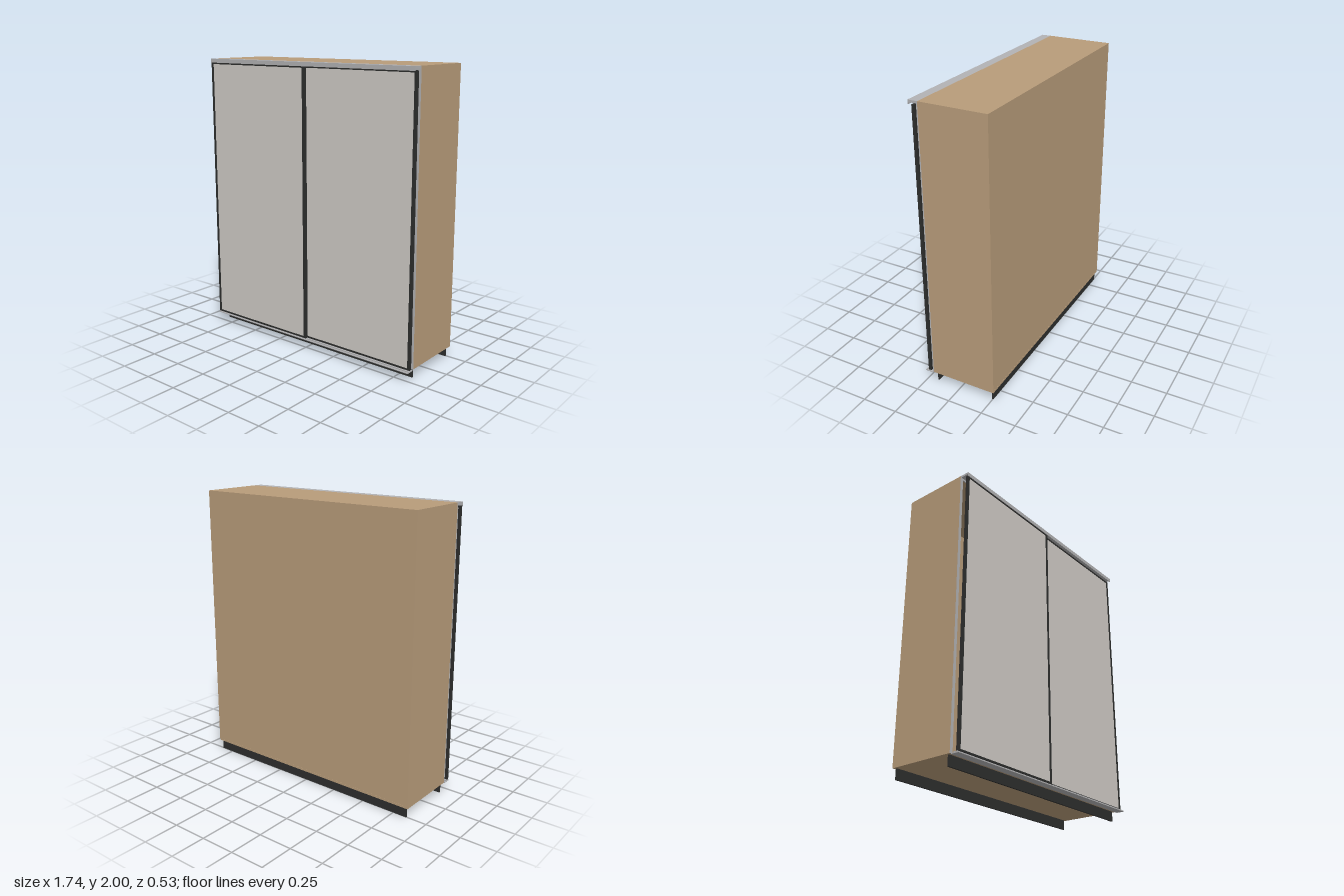
import * as THREE from 'three';

const material = (color) => new THREE.MeshStandardMaterial({ color });

export function createModel() {
  const model = new THREE.Group();
  model.name = 'slidingDoorWardrobe';
  const wood = material(0xb89c7a);
  const dark = material(0x2d2e2d);
  const metal = material(0xb2b2b4);
  const doorFace = material(0xcfcbc6);

  // Box given by its limits along each axis
  function slab(parent, name, mat, [x0, x1], [y0, y1], [z0, z1]) {
    const mesh = new THREE.Mesh(new THREE.BoxGeometry(x1 - x0, y1 - y0, z1 - z0), mat);
    mesh.position.set((x0 + x1) / 2, (y0 + y1) / 2, (z0 + z1) / 2);
    mesh.name = name;
    parent.add(mesh);
  }

  const W = 0.868, back = -0.267, front = 0.2, low = 0.07, t = 0.016;

  // Hollow carcass
  const carcass = new THREE.Group();
  carcass.name = 'carcass';
  model.add(carcass);
  for (const s of [-1, 1]) {
    const span = s < 0 ? [-W, -W + t] : [W - t, W];
    slab(carcass, 'sidePanel', wood, span, [low, 2], [back, front]);
    slab(carcass, 'sideEdgeStrip', metal, span, [low, 1.985], [front, 0.207]);
  }
  slab(carcass, 'topPanel', wood, [-W + t, W - t], [2 - t, 2], [back, front]);
  slab(carcass, 'bottomPanel', wood, [-W + t, W - t], [low, low + t], [back, front]);
  slab(carcass, 'backPanel', wood, [-W + t, W - t], [low + t, 2 - t], [back + 0.001, back + 0.009]);

  // Plinth boards under the carcass
  slab(model, 'frontPlinth', dark, [-0.852, 0.848], [0, low], [0.171, 0.182]);
  slab(model, 'backPlinth', dark, [-0.852, 0.848], [0, low], [-0.254, -0.243]);

  // Top rail: plate with a front lip and a back flange
  const topRail = new THREE.Group();
  topRail.name = 'topRail';
  model.add(topRail);
  slab(topRail, 'railPlate', metal, [-W, W], [1.985, 2], [front, 0.267]);
  slab(topRail, 'railLip', metal, [-W, W], [1.972, 1.985], [0.264, 0.267]);
  slab(topRail, 'railFlange', metal, [-W, W], [1.972, 1.985], [front, 0.207]);

  // Bottom rail with two running ridges
  const bottomRail = new THREE.Group();
  bottomRail.name = 'bottomRail';
  model.add(bottomRail);
  slab(bottomRail, 'railPlate', metal, [-W, W], [0.062, 0.068], [0.21, 0.267]);
  for (const z of [0.233, 0.256]) {
    slab(bottomRail, 'railRidge', metal, [-W, W], [0.068, 0.075], [z - 0.002, z + 0.002]);
  }

  // Framed sliding doors, one on each track
  function addDoor(name, x0, x1, z0, z1) {
    const door = new THREE.Group();
    door.name = name;
    model.add(door);
    const y0 = 0.074, y1 = 1.974, stile = 0.018, bar = 0.012;
    slab(door, 'doorStile', dark, [x0, x0 + stile], [y0, y1], [z0, z1]);
    slab(door, 'doorStile', dark, [x1 - stile, x1], [y0, y1], [z0, z1]);
    slab(door, 'doorBottomBar', dark, [x0 + stile, x1 - stile], [y0, y0 + bar], [z0, z1]);
    slab(door, 'doorTopBar', dark, [x0 + stile, x1 - stile], [y1 - bar, y1], [z0, z1]);
    slab(door, 'doorPanel', doorFace, [x0 + stile, x1 - stile], [y0 + bar, y1 - bar], [z0 + 0.005, z1 - 0.003]);
  }
  addDoor('rightDoor', -0.866, 0.009, 0.247, 0.264);
  addDoor('leftDoor', -0.009, 0.866, 0.223, 0.243);

  return model;
}
